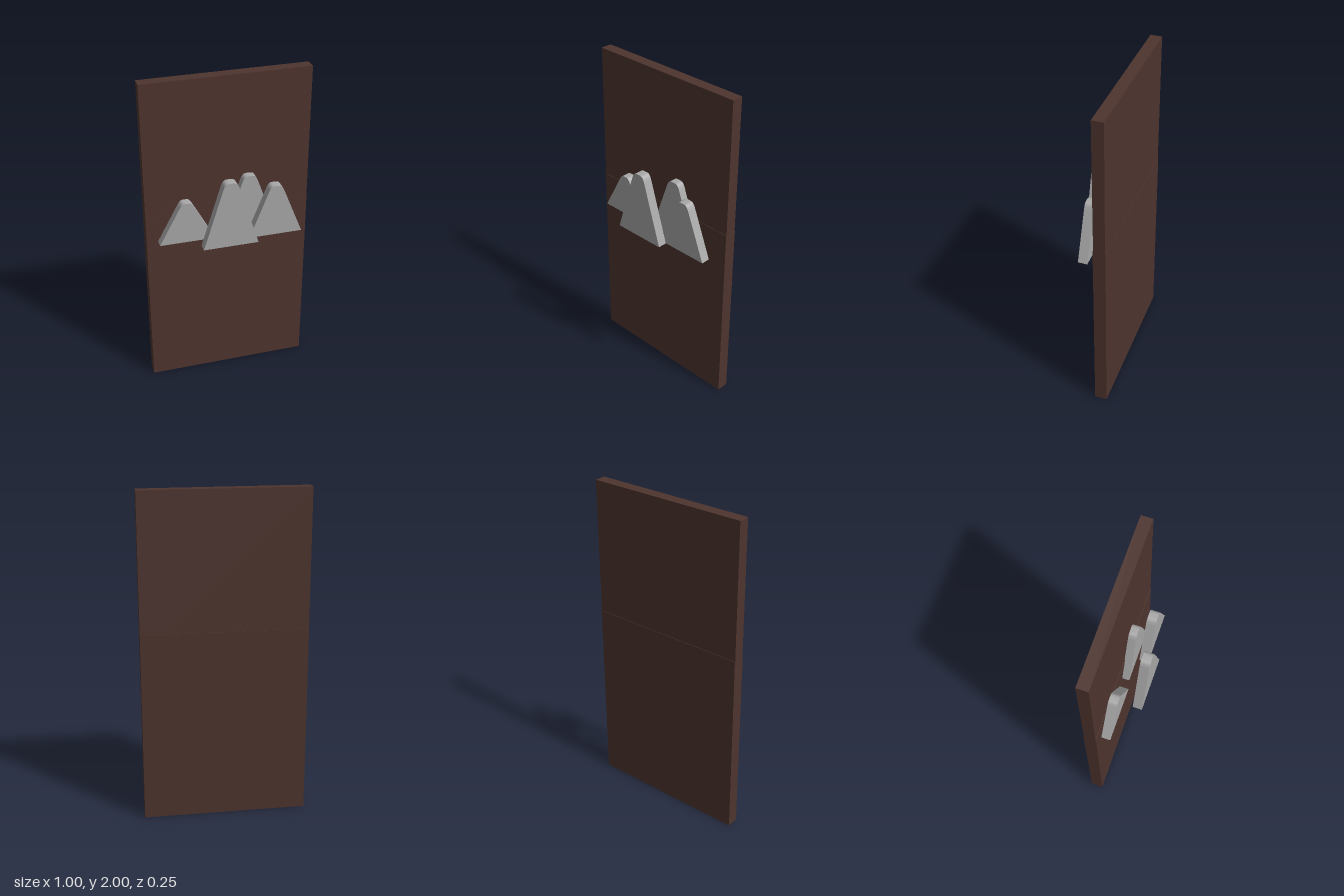
import * as THREE from 'three';

const wood = new THREE.MeshStandardMaterial({ color: 0x4e342e });
wood.name = 'dark brown wood';
const stone = new THREE.MeshStandardMaterial({ color: 0xa8a8a8 });
stone.name = 'light grey stone';

// Upright board spanning y0..y1 and z0..z1
function board(name, y0, y1, z0, z1) {
  const mesh = new THREE.Mesh(new THREE.BoxGeometry(0.995, y1 - y0, z1 - z0), wood);
  mesh.position.set(-0.002, (y0 + y1) / 2, (z0 + z1) / 2);
  mesh.name = name;
  return mesh;
}

// Triangular peak with a rounded summit, standing on its flat base
function peak(name, x, halfWidth, height, z0, z1) {
  const shoulderX = 0.049;
  const shoulderY = height - 0.04;
  const slope = shoulderY / (halfWidth - shoulderX);
  const handleX = 0.024;
  const handleY = Math.min(height, shoulderY + slope * (shoulderX - handleX));
  const shape = new THREE.Shape();
  shape.moveTo(-halfWidth, 0);
  shape.lineTo(halfWidth, 0);
  shape.lineTo(shoulderX, shoulderY);
  shape.bezierCurveTo(shoulderX - (handleY - shoulderY) / slope, handleY, handleX, height, 0, height);
  shape.bezierCurveTo(-handleX, height, -shoulderX + (handleY - shoulderY) / slope, handleY, -shoulderX, shoulderY);
  shape.closePath();
  const geometry = new THREE.ExtrudeGeometry(shape, { depth: z1 - z0, bevelEnabled: false, curveSegments: 12 });
  const mesh = new THREE.Mesh(geometry, stone);
  mesh.position.set(x, 1.004, z0);
  mesh.name = name;
  return mesh;
}

export function createModel() {
  const model = new THREE.Group();
  model.name = 'mountainPanel';

  // Two overlapping boards, the lower one slightly thicker
  model.add(board('lowerBoard', 0, 1.17, -0.125, -0.05));
  model.add(board('upperBoard', 1.045, 2, -0.122, -0.053));

  // Layered mountain cutouts: centre x, half width, height, back z, front z
  const peaks = [
    ['leftPeak', 0.263, 0.163, 0.328, 0.01, 0.066],
    ['rightPeak', -0.264, 0.167, 0.26, -0.047, 0.008],
    ['frontPeak', -0.028, 0.167, 0.418, 0.067, 0.124],
    ['backPeak', 0.123, 0.167, 0.376, -0.056, -0.006],
  ];
  for (const p of peaks) model.add(peak(...p));
  return model;
}
